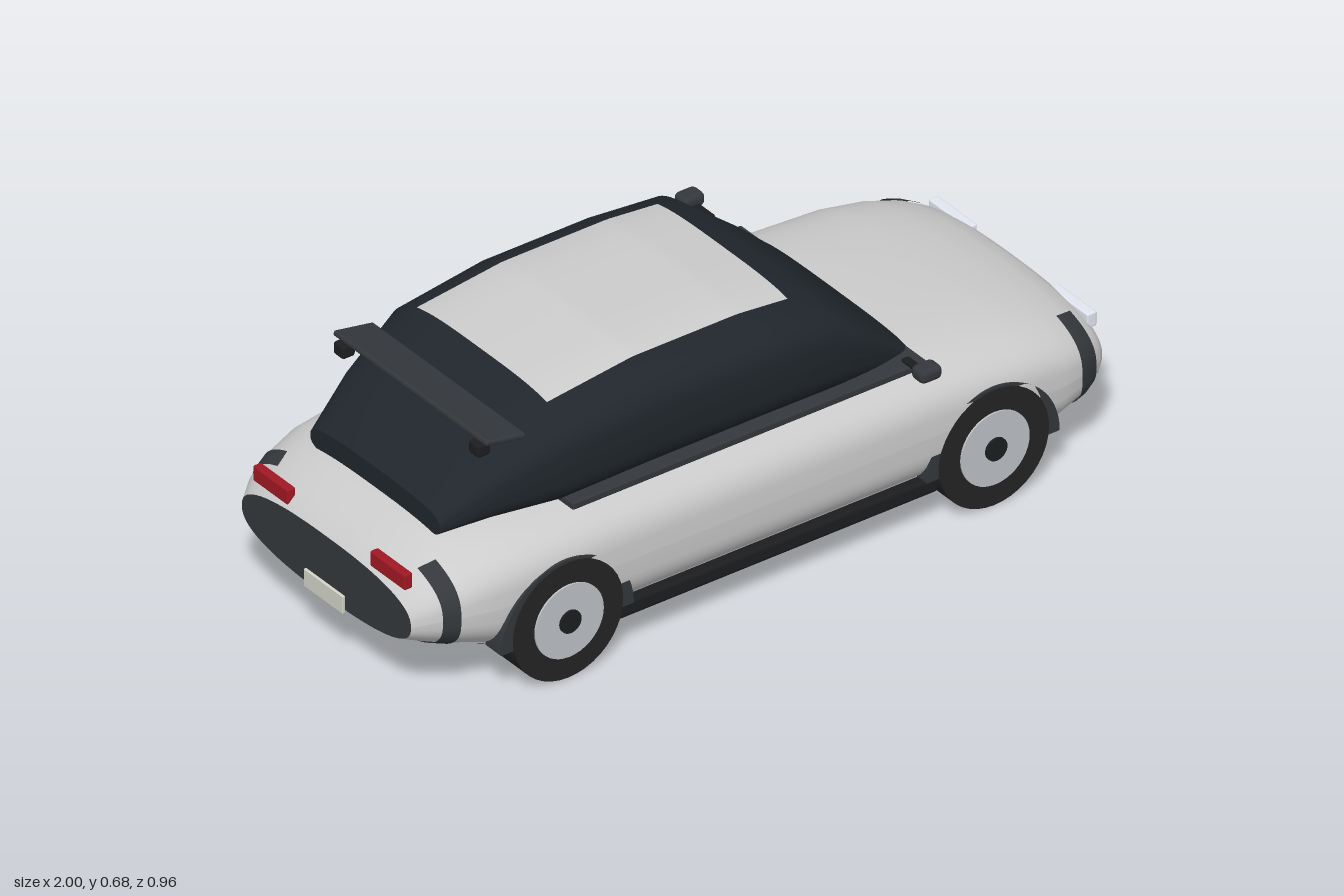
import * as THREE from 'three';
import { RoundedBoxGeometry } from 'three/addons/geometries/RoundedBoxGeometry.js';

const mat = (color, side = THREE.FrontSide) => new THREE.MeshStandardMaterial({ color, side });
const M = {
  paint: mat(0xcccccc), glass: mat(0x20262c), dark: mat(0x34383c, THREE.DoubleSide), black: mat(0x1c1d1f),
  under: mat(0x26292c), rubber: mat(0x242424), rim: mat(0xbfc3c9), lamp: mat(0xe2e6f0),
  red: mat(0xa01824), plate: mat(0xd2d4c8),
};

// Stations: [x, half width, bottom, top, superellipse exponent]
const BODY = [
  [-0.99, 0.325, 0.15, 0.315, 2.5], [-0.95, 0.355, 0.133, 0.355, 2.6], [-0.88, 0.385, 0.11, 0.388, 2.8],
  [-0.8, 0.405, 0.09, 0.408, 3.1], [-0.68, 0.417, 0.08, 0.416, 3.3], [-0.5, 0.42, 0.08, 0.42, 3.4],
  [0.45, 0.42, 0.08, 0.425, 3.4], [0.7, 0.42, 0.08, 0.41, 3.3], [0.82, 0.412, 0.088, 0.39, 3.1],
  [0.9, 0.395, 0.105, 0.37, 2.8], [0.95, 0.37, 0.125, 0.347, 2.6], [0.975, 0.345, 0.138, 0.326, 2.5],
  [0.988, 0.322, 0.153, 0.306, 2.4],
];
const CABIN = [
  [-0.85, 0.25, 0.37, 0.45, 3], [-0.72, 0.295, 0.37, 0.56, 3.2], [-0.55, 0.345, 0.37, 0.65, 3.5],
  [-0.3, 0.357, 0.38, 0.68, 3.5], [0, 0.357, 0.38, 0.68, 3.5], [0.2, 0.355, 0.38, 0.66, 3.5],
  [0.36, 0.315, 0.37, 0.53, 3.4], [0.465, 0.29, 0.37, 0.43, 3.2],
];

// Linear blend of the two stations around x
function stationAt(stations, x) {
  let i = 0;
  while (i < stations.length - 2 && stations[i + 1][0] < x) i++;
  const [a, b] = [stations[i], stations[i + 1]];
  const t = THREE.MathUtils.clamp((x - a[0]) / (b[0] - a[0]), 0, 1);
  return a.map((v, k) => v + (b[k] - v) * t);
}

// Part of a loft between x0 and x1, lifted off the surface by a little
function slice(stations, x0, x1, lift) {
  const xs = [x0, ...stations.map((s) => s[0]).filter((x) => x > x0 && x < x1), x1];
  return xs.map((x) => {
    const [, w, lo, hi, n] = stationAt(stations, x);
    return [x, w + lift, lo - lift, hi + lift, n];
  });
}

// Skin over superellipse sections, for the angles a0 to a1 (0 = left side, PI/2 = top)
function loft(stations, a0 = 0, a1 = Math.PI * 2, seg = 64) {
  const pos = [], idx = [];
  const pw = (v, n) => Math.sign(v) * Math.abs(v) ** (2 / n);
  for (const [x, w, lo, hi, n] of stations) {
    for (let j = 0; j <= seg; j++) {
      const a = a0 + ((a1 - a0) * j) / seg;
      pos.push(x, (lo + hi) / 2 + ((hi - lo) / 2) * pw(Math.sin(a), n), w * pw(Math.cos(a), n));
    }
  }
  for (let i = 0; i < stations.length - 1; i++) {
    for (let j = 0; j < seg; j++) {
      const p = i * (seg + 1) + j, q = p + seg + 1;
      idx.push(p, q, p + 1, q, q + 1, p + 1);
    }
  }
  const g = new THREE.BufferGeometry();
  g.setAttribute('position', new THREE.Float32BufferAttribute(pos, 3));
  g.setIndex(idx);
  g.computeVertexNormals();
  return g;
}

// Flat lid on the first or last section
function lid(stations, rear) {
  const s = stations[rear ? 0 : stations.length - 1];
  const mid = (s[2] + s[3]) / 2, centre = [s[0], 0, mid, mid, s[4]];
  return loft(rear ? [centre, s] : [s, centre]);
}

export function createModel() {
  const car = new THREE.Group();
  car.name = 'car';
  const add = (name, geo, material, x = 0, y = 0, z = 0, parent = car) => {
    const m = new THREE.Mesh(geo, material);
    m.name = name;
    m.position.set(x, y, z);
    parent.add(m);
    return m;
  };
  const box = (name, material, size, at, r = 0.005) =>
    add(name, new RoundedBoxGeometry(...size, 2, r), material, ...at);

  // Body shell, nose and tail panels, underside
  add('body', loft(BODY), M.paint);
  add('nosePanel', lid(BODY, false), M.dark);
  add('tailPanel', lid(BODY, true), M.dark);
  add('underside', loft(slice(BODY, -0.9, 0.95, 0.003), Math.PI * 1.2, Math.PI * 1.8), M.under);

  // Dark bumper bands round the four corners
  for (const [name, x0, x1] of [['frontBand', 0.875, 0.93], ['rearBand', -0.93, -0.89]]) {
    for (const a of [0, Math.PI]) {
      add(name, loft(slice(BODY, x0, x1, 0.004), a - 0.85, a + 0.85, 24), M.dark);
    }
  }

  // Cabin glass with closed ends
  add('cabin', loft(CABIN), M.glass);
  add('windscreenBase', lid(CABIN, false), M.glass);
  add('rearGlassBase', lid(CABIN, true), M.glass);
  box('beltTrim', M.dark, [1.015, 0.02, 0.716], [-0.043, 0.41, 0]);

  // Roof panel that follows the cabin top
  const roof = new THREE.PlaneGeometry(0.69, 0.5, 40, 24).rotateX(-Math.PI / 2).translate(-0.2, 0, 0);
  const p = roof.attributes.position;
  for (let i = 0; i < p.count; i++) {
    const [, w, lo, hi, n] = stationAt(CABIN, p.getX(i));
    const rise = (1 - Math.abs(p.getZ(i) / w) ** n) ** (1 / n);
    p.setY(i, (lo + hi) / 2 + ((hi - lo) / 2) * rise + 0.004);
  }
  roof.computeVertexNormals();
  add('roofPanel', roof, M.paint);

  // Wheel arch: half ring
  const arch = new THREE.Shape();
  arch.absarc(0, 0, 0.19, 0, Math.PI, false);
  arch.absarc(0, 0, 0.15, Math.PI, 0, true);
  const archGeo = new THREE.ExtrudeGeometry(arch, { depth: 0.06, bevelEnabled: false, curveSegments: 32 });

  const disc = (r, depth) => new THREE.CylinderGeometry(r, r, depth, 40).rotateX(Math.PI / 2);
  for (const side of [1, -1]) {
    for (const [name, x] of [['frontWheel', 0.61], ['rearWheel', -0.61]]) {
      const wheel = new THREE.Group();
      wheel.name = name;
      wheel.position.set(x, 0.157, side * 0.368);
      car.add(wheel);
      add('tyre', disc(0.157, 0.105), M.rubber, 0, 0, 0, wheel);
      add('rim', disc(0.098, 0.02), M.rim, 0, 0, side * 0.047, wheel);
      add('hubCap', disc(0.03, 0.02), M.black, 0, 0, side * 0.053, wheel);
      add('wheelArch', archGeo, M.dark, x, 0.13, side * 0.387 - 0.03);
    }
    // Side sill
    box('sill', M.black, [0.92, 0.042, 0.035], [0, 0.111, side * 0.393], 0.01);
    // Door mirror on its stalk
    box('mirrorStalk', M.black, [0.022, 0.01, 0.065], [0.39, 0.46, side * 0.403], 0.004);
    box('mirror', M.dark, [0.062, 0.038, 0.05], [0.39, 0.469, side * 0.456], 0.015);
    // Lamps
    box('headlight', M.lamp, [0.028, 0.04, 0.152], [0.976, 0.305, side * 0.23]);
    box('tailLight', M.red, [0.024, 0.042, 0.135], [-0.972, 0.335, side * 0.225]);
    // Spoiler end block
    box('spoilerFoot', M.black, [0.038, 0.035, 0.04], [-0.745, 0.6, side * 0.26], 0.008);
  }

  // Spoiler blade
  box('spoiler', M.dark, [0.115, 0.014, 0.59], [-0.695, 0.617, 0]).rotation.z = -0.18;

  // Grille and number plates
  box('grille', M.black, [0.016, 0.066, 0.352], [0.987, 0.213, 0]);
  box('frontPlate', M.plate, [0.008, 0.048, 0.15], [0.996, 0.144, 0], 0.002);
  box('rearPlate', M.plate, [0.008, 0.048, 0.15], [-0.996, 0.168, 0], 0.002);
  return car;
}
